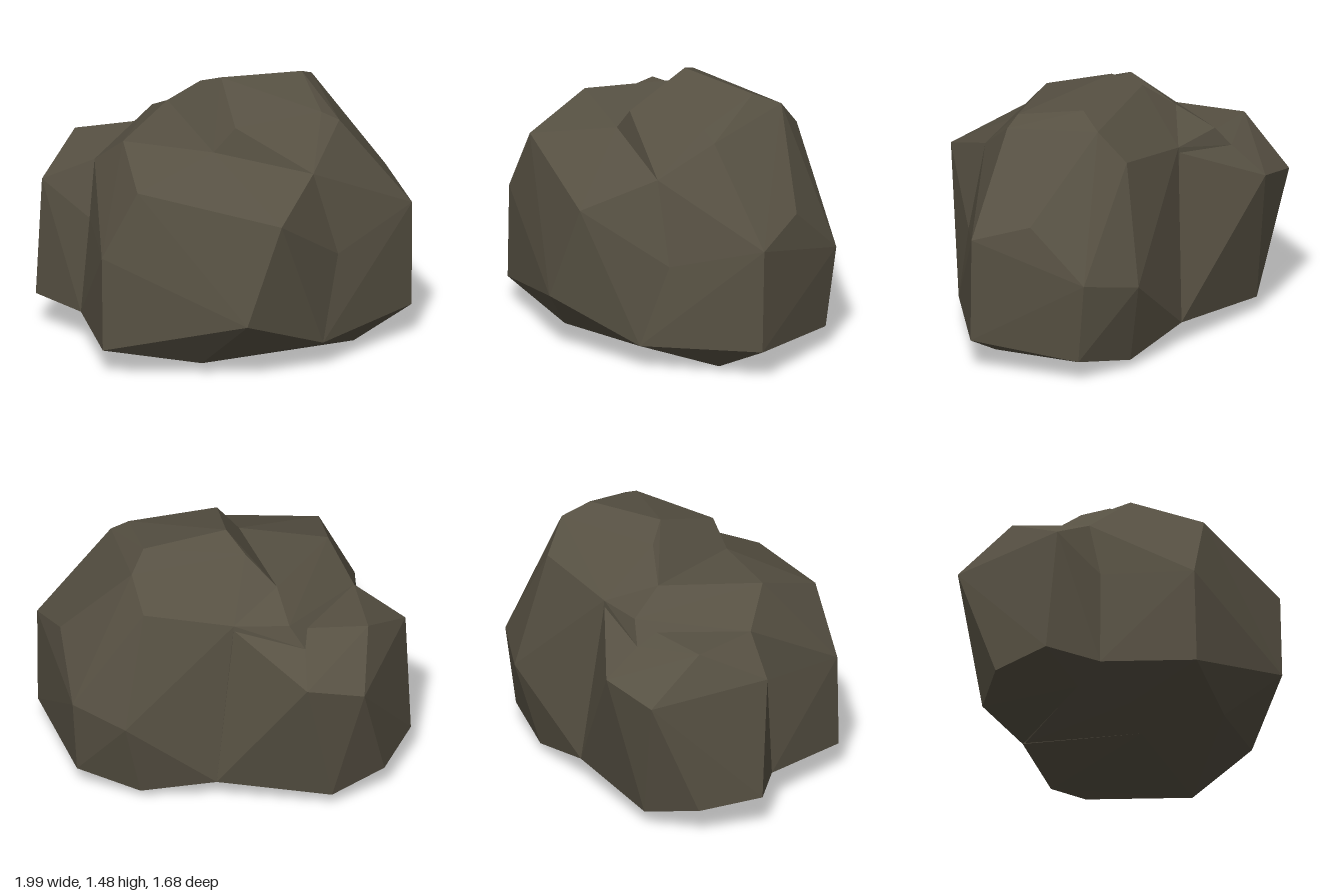
import * as THREE from 'three';
import { ConvexGeometry } from 'three/addons/geometries/ConvexGeometry.js';

const stone = new THREE.MeshStandardMaterial({ color: 0x575143 });
stone.name = 'stone';

// A faceted boulder: the hull of a few corner points, with flat faces
function boulder(name, corners) {
  const points = corners.map(([x, y, z]) => new THREE.Vector3(x, y, z));
  const mesh = new THREE.Mesh(new ConvexGeometry(points), stone);
  mesh.name = name;
  return mesh;
}

export function createModel() {
  const group = new THREE.Group();
  group.name = 'rockCluster';

  // Tall boulder at the back, holding the summit
  group.add(boulder('summitBoulder', [
    [-0.04, 1.48, -0.08], [0.32, 1.45, -0.39], [-0.19, 1.41, -0.16], [0.17, 1.34, 0.27],
    [0.55, 1.36, -0.07], [0.64, 1.31, -0.11], [0.6, 1.1, 0.2], [0.06, 1.2, 0.32],
    [0.32, 1.38, -0.55], [0.2, 1.21, -0.66], [0.75, 0.9, -0.55], [-0.39, 1.26, -0.18],
    [-0.25, 1.13, -0.45], [0.99, 0.79, -0.32], [0.99, 0.19, -0.31], [0.73, 0.63, 0.16],
    [0.56, 0.6, -0.81], [0.23, 0.54, -0.84], [0.56, 0.13, -0.75], [0.2, 0.05, -0.7],
    [-0.2, 0.14, -0.57], [0.7, 0.16, 0.32], [0.72, 0.01, -0.12], [-0.12, 0, 0.21],
  ]));

  // Broad boulder at the front with a shelf on top
  group.add(boulder('frontBoulder', [
    [-0.41, 0.7, 0.83], [-0.4, 0.16, 0.84], [0.42, 0.38, 0.77], [0.57, 0.94, 0.63],
    [-0.23, 1.08, 0.75], [-0.44, 1.23, 0.4], [0.06, 1.2, 0.32], [0.6, 1.1, 0.2],
    [-0.65, 1.05, 0.28], [-0.65, 0.73, 0.36], [-0.69, 0.18, 0.39], [0.73, 0.63, 0.16],
    [0.7, 0.16, 0.32], [-0.39, 1.26, -0.18], [-0.54, 1.15, -0.35], [-0.64, 1.03, -0.36],
    [-0.25, 1.13, -0.45], [-0.2, 0.14, -0.55], [0.1, 0.07, 0.62], [-0.37, 0.06, 0.35],
    [-0.12, 0, 0.21], [0.72, 0.01, -0.12],
  ]));

  // Low boulder on the side
  group.add(boulder('sideBoulder', [
    [-1, 0.82, -0.37], [-0.95, 0.9, 0.3], [-0.89, 1.07, -0.07], [-0.65, 1.05, 0.28],
    [-0.64, 1.03, -0.36], [-0.74, 0.9, -0.56], [-0.25, 1.1, -0.45], [-0.65, 0.73, 0.36],
    [-0.69, 0.18, 0.39], [-1, 0.2, 0.26], [-1, 0.16, -0.1], [-0.8, 0.09, -0.36],
    [-0.65, 0.1, 0.2], [-0.2, 0.14, -0.57],
  ]));

  return group;
}
